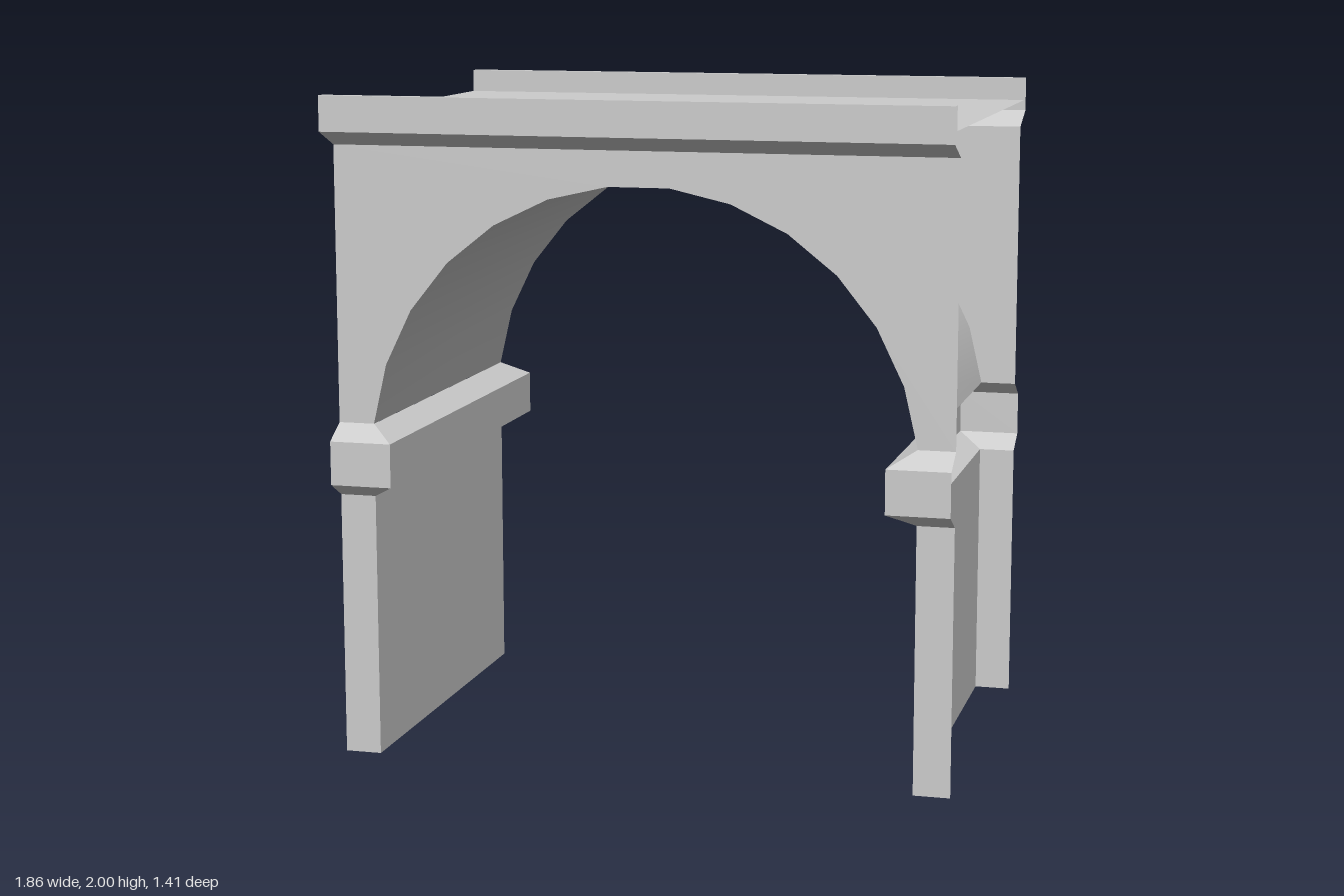
import * as THREE from 'three';

const HALF_W = 0.93;      // outer half width
const JAMB = 0.82;        // half width of the opening
const DEPTH = 0.595;      // half depth of the walls
const SPRING = 1.02;      // height where the arch starts
const EAVES = 1.85;       // height where the cornice starts

const material = new THREE.MeshStandardMaterial({ color: 0xcccccc, side: THREE.DoubleSide });

// Surface through rows of points; smooth or with sharp facets.
function loft(rows, smooth = false) {
  const n = rows[0].length;
  const index = [];
  for (let r = 0; r < rows.length - 1; r++) {
    for (let c = 0; c < n - 1; c++) {
      const a = r * n + c, b = a + n;
      index.push(a, a + 1, b + 1, a, b + 1, b);
    }
  }
  let geometry = new THREE.BufferGeometry();
  geometry.setAttribute('position', new THREE.Float32BufferAttribute(rows.flat(2), 3));
  geometry.setIndex(index);
  if (!smooth) geometry = geometry.toNonIndexed();
  geometry.computeVertexNormals();
  return geometry;
}

// Points of the round arch, from the +x springing over to the -x one.
function archPoints() {
  const centreY = 0.924, radius = 0.826, segments = 13;
  const start = Math.asin((SPRING - centreY) / radius);
  return Array.from({ length: segments + 1 }, (_, i) => {
    const a = start + (i / segments) * (Math.PI - 2 * start);
    return [radius * Math.cos(a), centreY + radius * Math.sin(a)];
  });
}

// Pier: a U-shaped plan swept up a profile, with a mitred impost moulding.
function pierGeometry(side) {
  const profile = [[0, 0], [0, 0.8], [0.078, 0.843], [0.078, 0.975], [0, SPRING]];
  return loft(profile.map(([d, y]) => {
    const inner = side * (JAMB - d), outer = side * HALF_W, z = side * (DEPTH + d);
    return [[outer, y, -z], [inner, y, -z], [inner, y, z], [outer, y, z]];
  }));
}

export function createModel() {
  const model = new THREE.Group();
  model.name = 'archway';
  const add = (name, geometry) => {
    const mesh = new THREE.Mesh(geometry, material);
    mesh.name = name;
    model.add(mesh);
    return mesh;
  };

  // Piers with imposts
  add('leftPier', pierGeometry(1));
  add('rightPier', pierGeometry(-1));

  // Vault between the two faces
  const arch = archPoints();
  add('vault', loft(arch.map(([x, y]) => [[x, y, -DEPTH], [x, y, DEPTH]]), true));

  // Front and back walls above the arch
  const wall = new THREE.Shape([
    [HALF_W, SPRING], [HALF_W, EAVES], [-HALF_W, EAVES], [-HALF_W, SPRING],
    ...arch.slice().reverse(),
  ].map(([x, y]) => new THREE.Vector2(x, y)));
  const wallGeometry = new THREE.ShapeGeometry(wall);
  add('frontWall', wallGeometry).position.z = DEPTH;
  const back = add('backWall', wallGeometry);
  back.position.z = -DEPTH;
  back.rotation.y = Math.PI;

  // Cornice, raised lips and deck as one folded sheet
  const half = [[DEPTH, EAVES], [0.705, 1.895], [0.705, 2], [0.67, 2], [0.67, 1.93]];
  const section = [...half, ...half.slice().reverse().map(([z, y]) => [-z, y])];
  add('deckAndCornices', loft(section.map(([z, y]) => [[-HALF_W, y, z], [HALF_W, y, z]])));

  return model;
}
